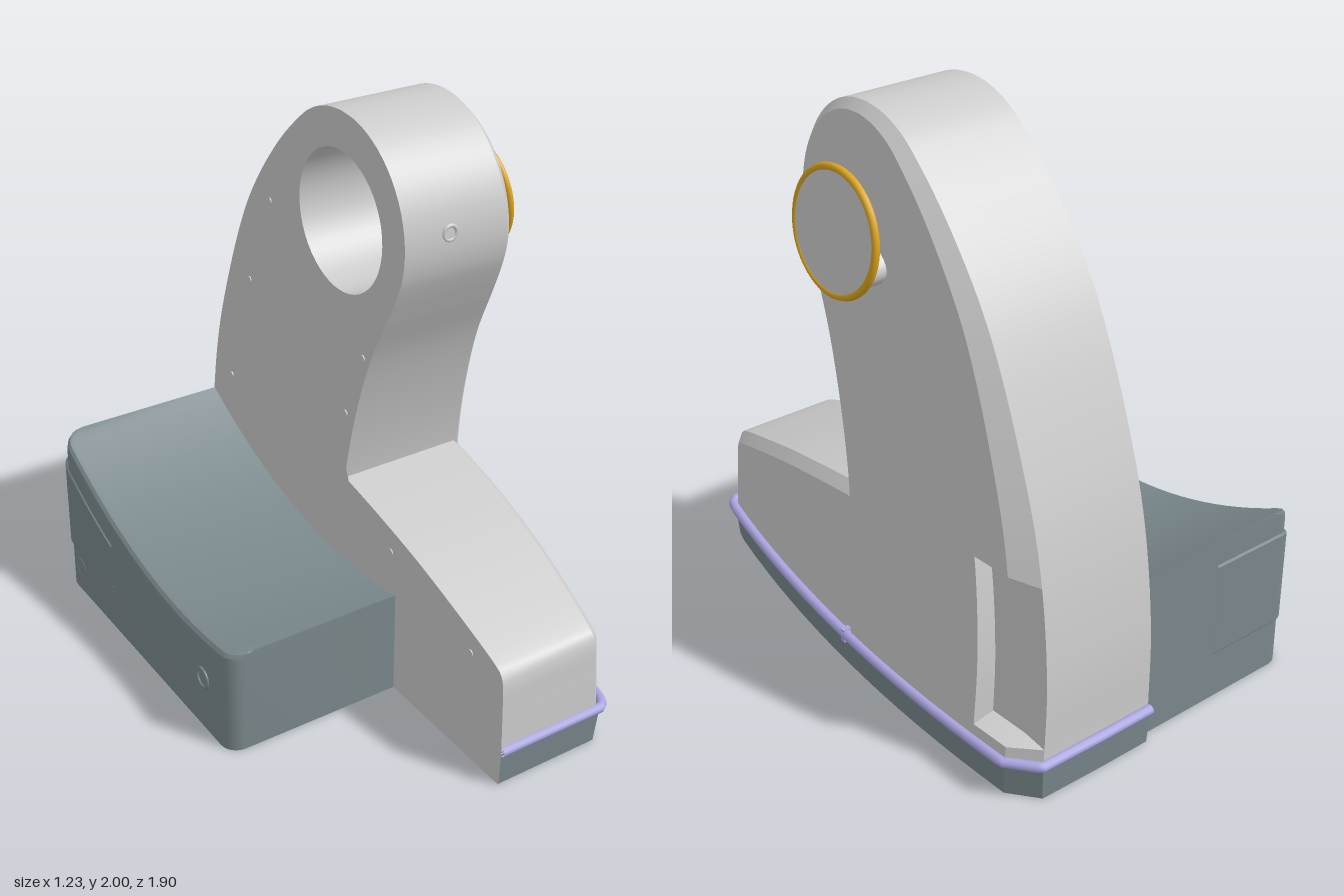
import * as THREE from 'three';
import { toCreasedNormals } from 'three/addons/utils/BufferGeometryUtils.js';

const PLATE_X = 0.04;
const lerp = THREE.MathUtils.lerp;
const paint = (color) => new THREE.MeshStandardMaterial({ color, side: THREE.DoubleSide });
const GREY = paint(0xcccccc), SLATE = paint(0x7a888c), LILAC = paint(0xaaa5e0), GOLD = paint(0xdba520);

// Outer side surface: bowed along z, leaning inward with height
const sideX = (z, y) => 0.585 - 0.083 * (z + 0.25) ** 2 - 0.066 * (y - 0.15);

// Surface through rows of [x, y, z] points
function loft(rows, crease = 0.45) {
  const n = rows[0].length, index = [];
  for (let r = 0; r < rows.length - 1; r++) {
    for (let c = 0; c < n - 1; c++) {
      const a = r * n + c, b = a + n;
      index.push(a, b, a + 1, a + 1, b, b + 1);
    }
  }
  const geo = new THREE.BufferGeometry();
  geo.setAttribute('position', new THREE.Float32BufferAttribute(rows.flat(2), 3));
  geo.setIndex(index);
  return toCreasedNormals(geo, crease);
}

// Smooth curve through [z, y] points in the side plane
const curveZY = (pts) => new THREE.CatmullRomCurve3(pts.map(([z, y]) => new THREE.Vector3(0, y, z)), false, 'centripetal');

const HEAD = { z: -0.015, y: 1.645, r: 0.355 };
const headArc = (from, to, n) => Array.from({ length: n + 1 }, (_, i) => {
  const a = THREE.MathUtils.degToRad(lerp(from, to, i / n));
  return [HEAD.z + HEAD.r * Math.cos(a), HEAD.y + HEAD.r * Math.sin(a)];
});
const armFront = curveZY([[-0.01, 0.13], [0, 0.45], [0.02, 0.7], [0.075, 0.95], [0.16, 1.2], [0.25, 1.38], ...headArc(-28, 90, 10)]);
const armBack = curveZY([[-0.92, 0.13], [-0.912, 0.45], [-0.862, 0.8], [-0.785, 1.07], [-0.6, 1.5], [-0.4, 1.77], ...headArc(130, 90, 4)]);
const toeTop = curveZY([[-0.02, 0.705], [0.2, 0.66], [0.45, 0.598], [0.7, 0.518], [0.87, 0.455], [0.905, 0.435], [0.918, 0.4], [0.924, 0.3], [0.93, 0.13]]);

// Height of the side housing's hollow, cradle-like top
const BOX = { back: -0.89, front: 0.33, left: -0.615, r: 0.06 };
const boxTop = (z) => {
  const t = (BOX.front - z) / (BOX.front - BOX.back);
  return 0.39 + 0.24 * t - 0.48 * t * (1 - t);
};
const boxLeft = (z) => {
  const d = Math.max(0, BOX.r - Math.min(z - BOX.back, BOX.front - z));
  return BOX.left + BOX.r - Math.sqrt(BOX.r ** 2 - d ** 2);
};

function armGeometry() {
  const edge = 0.82; // where the grip recess begins across the side
  const row = (u, pocket) => {
    const cf = 0.03, cb = lerp(0.085, 0.03, u);
    const f = armFront.getPointAt(u), b = armBack.getPointAt(u);
    const tf = armFront.getTangentAt(u), tb = armBack.getTangentAt(u);
    const f2 = { z: f.z - tf.y * cf, y: f.y + tf.z * cf };
    const b2 = { z: b.z + tb.y * cb, y: b.y - tb.z * cb };
    const pts = [[PLATE_X, f.y, f.z], [sideX(f2.z, f2.y) - cf, f.y, f.z]];
    const at = (t, x) => {
      const z = lerp(f2.z, b2.z, t), y = lerp(f2.y, b2.y, t);
      return [x ?? sideX(z, y), y, z];
    };
    for (let i = 0; i <= 10; i++) pts.push(at(edge * i / 10));
    const xEdge = sideX(b2.z, b2.y) - cb;
    pts.push(at(edge, pocket ? xEdge + 0.02 : undefined));
    pts.push(at(1, pocket ? xEdge + 0.008 : undefined));
    pts.push([xEdge, b.y, b.z], [PLATE_X, b.y, b.z]);
    return pts;
  };
  const rows = [];
  const add = (from, to, n, pocket) => {
    for (let i = 0; i <= n; i++) rows.push(row(lerp(from, to, i / n), pocket));
  };
  add(0, 0.03, 1, false);
  add(0.037, 0.285, 14, true); // grip recess with sloping ends
  add(0.305, 1, 60, false);
  return loft(rows);
}

function toeGeometry() {
  const rows = [], c = 0.035;
  for (let i = 0; i <= 60; i++) {
    const p = toeTop.getPointAt(i / 60), t = toeTop.getTangentAt(i / 60);
    const z = p.z + t.y * c, y = Math.max(0.13, p.y - t.z * c);
    const x = sideX(z, y) - 0.012;
    rows.push([[PLATE_X, p.y, p.z], [x - c, p.y, p.z], [x, y, z], [sideX(z, 0.13) - 0.012, 0.13, z]]);
  }
  return loft(rows);
}

// Flat inner cheek, cut out around the housing and pierced at the head
function plateGeometry() {
  const pts = [[BOX.front, 0], [0.925, 0]];
  for (const p of toeTop.getSpacedPoints(40).reverse()) if (p.z > 0.03) pts.push([p.z, p.y]);
  for (const p of armFront.getSpacedPoints(60)) if (p.y > 0.7) pts.push([p.z, p.y]);
  for (const p of armBack.getSpacedPoints(60).reverse().slice(1)) pts.push([p.z, p.y]);
  pts.push([-0.915, 0], [BOX.back, 0]);
  for (let i = 0; i <= 24; i++) {
    const z = lerp(BOX.back, BOX.front, i / 24);
    pts.push([z, boxTop(z)]);
  }
  const shape = new THREE.Shape(pts.map(([z, y]) => new THREE.Vector2(z, y)));
  shape.holes.push(new THREE.Path().absarc(-0.02, 1.63, 0.24, 0, Math.PI * 2, true));
  return new THREE.ShapeGeometry(shape, 24).rotateY(-Math.PI / 2).translate(PLATE_X, 0, 0);
}

function housingGeometry() {
  const zs = [];
  for (let i = 0; i <= 6; i++) zs.push(BOX.back + BOX.r * (1 - Math.cos(i / 6 * Math.PI / 2)));
  for (let i = 1; i < 20; i++) zs.push(lerp(BOX.back + BOX.r, BOX.front - BOX.r, i / 20));
  for (let i = 6; i >= 0; i--) zs.push(BOX.front - BOX.r * (1 - Math.cos(i / 6 * Math.PI / 2)));
  const rows = zs.map((z) => {
    const x = boxLeft(z), y = boxTop(z);
    return [[x, 0, z], [x + 0.01, y - 0.035, z], [x + 0.014, y - 0.015, z], [x + 0.024, y - 0.003, z], [x + 0.04, y, z], [PLATE_X, y, z]];
  });
  // Collapsed end rows close the front and back walls
  const flat = (row) => row.map(([, y, z]) => [PLATE_X, y, z]);
  return loft([flat(rows[0]), ...rows, flat(rows.at(-1))]);
}

// Access cover wrapping the housing's rear corner, its top following the cradle
function coverGeometry() {
  const plan = [[-0.27, BOX.back]];
  for (let i = 0; i <= 8; i++) {
    const a = i / 8 * Math.PI / 2;
    plan.push([BOX.left + BOX.r * (1 - Math.sin(a)), BOX.back + BOX.r * (1 - Math.cos(a))]);
  }
  for (let i = 1; i <= 5; i++) plan.push([BOX.left, lerp(BOX.back + BOX.r, -0.5, i / 5)]);
  const ring = (t, out) => plan.map(([x, z]) => {
    const y = lerp(0.18, boxTop(z) - 0.09, t);
    return [x - (x < -0.5 ? out : 0) + 0.01 * y, y, z - (z < -0.8 ? out : 0)];
  });
  return loft([ring(0, 0), ring(0.02, 0.005), ring(0.98, 0.005), ring(1, 0)]);
}

// Plan outline of the foot, from front inner corner round to back inner corner
function footOutline() {
  const pts = [[PLATE_X, 0.93], [0.25, 0.93], [0.45, 0.93], [0.472, 0.905]];
  for (let i = 0; i <= 16; i++) {
    const z = lerp(0.86, -0.83, i / 16);
    pts.push([sideX(z, 0.13), z]);
  }
  return [...pts, [0.48, -0.925], [0.25, -0.93], [PLATE_X, -0.93]];
}

export function createModel() {
  const model = new THREE.Group();
  const add = (name, geo, mat = GREY, parent = model) => {
    const mesh = new THREE.Mesh(geo, mat);
    mesh.name = name;
    parent.add(mesh);
    return mesh;
  };

  // Main shell
  add('curvedArm', armGeometry());
  add('frontToe', toeGeometry());
  add('innerPlate', plateGeometry());
  add('headBore', new THREE.CylinderGeometry(0.24, 0.24, 0.38, 48, 1, true).rotateZ(Math.PI / 2).translate(0.23, 1.63, -0.02));
  add('headScrew', new THREE.TorusGeometry(0.024, 0.007, 8, 24).translate(0.21, 1.68, 0.336));

  // Skirt and trim bead round the foot
  const outline = footOutline();
  const skirtRow = (y, s) => outline.map(([x, z]) => [x > 0.1 ? x - s : x, y, z * (1 - s)]);
  add('footSkirt', loft([skirtRow(0, 0.01), skirtRow(0.14, 0)]), SLATE);
  const corners = outline.map(([x, z]) => new THREE.Vector3(x > 0.3 ? x + 0.005 : x, 0.14, z));
  const beadPath = new THREE.CurvePath();
  for (let i = 1; i < corners.length; i++) beadPath.add(new THREE.LineCurve3(corners[i - 1], corners[i]));
  add('trimBead', new THREE.TubeGeometry(beadPath, 200, 0.018, 10), LILAC);
  add('trimJoint', new THREE.BoxGeometry(0.03, 0.05, 0.02).translate(0.583, 0.135, -0.01), LILAC);

  // Side housing
  add('sideHousing', housingGeometry(), SLATE);
  add('accessCover', coverGeometry(), SLATE);
  for (const [z, y] of [[0.15, 0.2], [-0.78, 0.1]]) {
    add('housingPort', new THREE.TorusGeometry(0.035, 0.006, 8, 28).rotateY(Math.PI / 2).translate(BOX.left + 0.006, y, z), SLATE);
  }

  // Tilted dial on a flattened stem
  add('dialStem', new THREE.CylinderGeometry(0.08, 0.08, 0.12, 40).rotateZ(Math.PI / 2).scale(1, 1, 2).translate(0.505, 1.53, -0.025));
  const dial = new THREE.Group();
  dial.name = 'dial';
  dial.position.set(0.565, 1.625, -0.025);
  dial.rotation.set(0, 0.05, 0.1);
  model.add(dial);
  add('dialFace', new THREE.CylinderGeometry(0.196, 0.196, 0.018, 64).rotateZ(Math.PI / 2), GREY, dial);
  add('dialRing', new THREE.TorusGeometry(0.197, 0.013, 10, 72).rotateY(Math.PI / 2), GOLD, dial);

  // Small screws on the inner cheek
  for (const [z, y] of [[-0.45, 1.55], [-0.6, 1.2], [-0.75, 0.75], [0.12, 1.2], [0.02, 0.95], [0.3, 0.55], [0.75, 0.42]]) {
    add('plateScrew', new THREE.CylinderGeometry(0.012, 0.012, 0.008, 12).rotateZ(Math.PI / 2).translate(PLATE_X, y, z));
  }
  return model;
}
